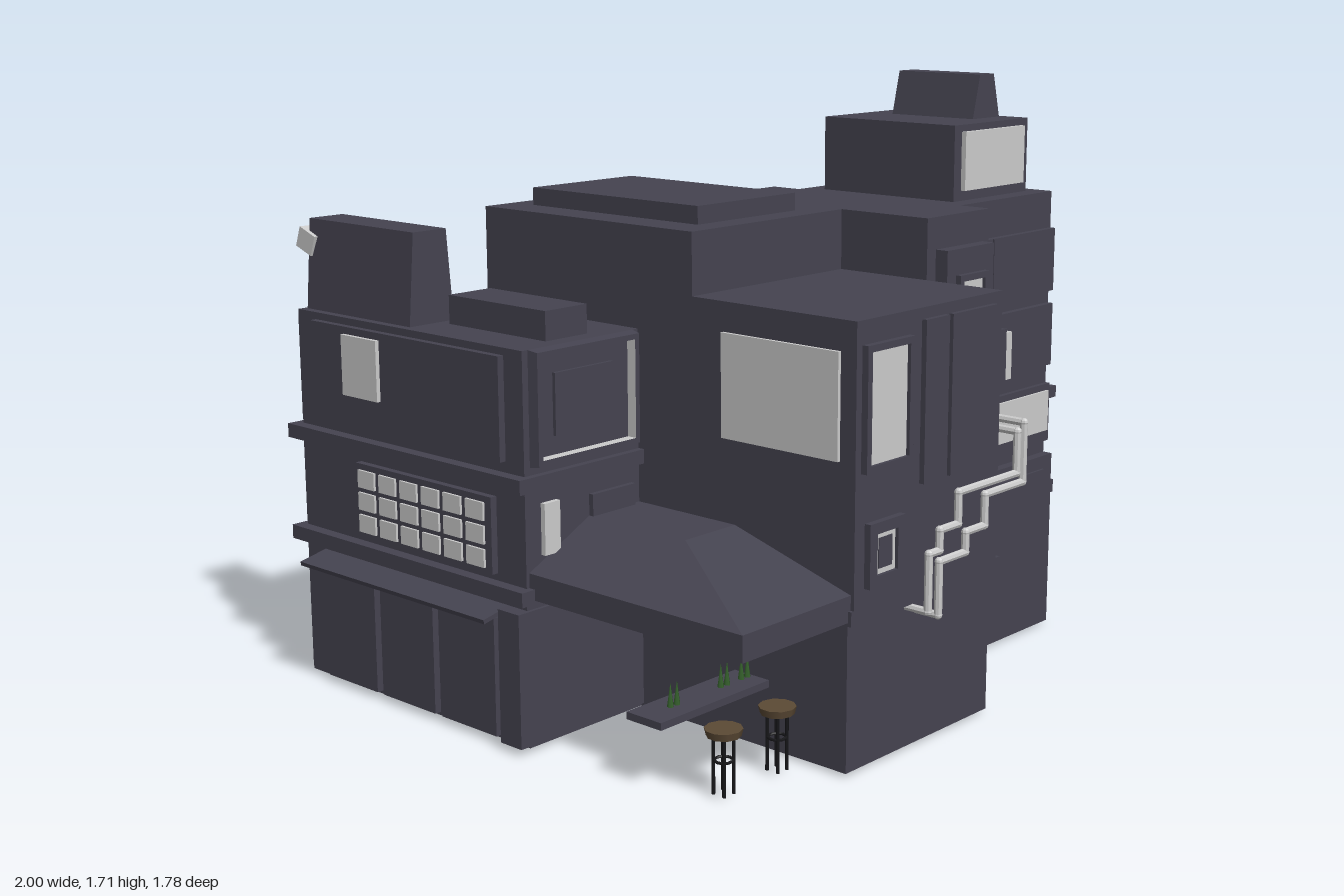
import * as THREE from 'three';

const DARK = new THREE.MeshStandardMaterial({ color: 0x454350, flatShading: true, side: THREE.DoubleSide });
const LIGHT = new THREE.MeshStandardMaterial({ color: 0xcccccc, flatShading: true, side: THREE.DoubleSide });
const BLACK = new THREE.MeshStandardMaterial({ color: 0x17171a });
const WOOD = new THREE.MeshStandardMaterial({ color: 0x5c4a35 });
const GREEN = new THREE.MeshStandardMaterial({ color: 0x35602c });

export function createModel() {
  const root = new THREE.Group();
  const add = (name, geo, mat = DARK, parent = root) => {
    const m = new THREE.Mesh(geo, mat);
    m.name = name;
    parent.add(m);
    return m;
  };
  // Box from its limits on each axis
  const box = (name, x0, x1, y0, y1, z0, z1, mat = DARK) => {
    const m = add(name, new THREE.BoxGeometry(x1 - x0, y1 - y0, z1 - z0), mat);
    m.position.set((x0 + x1) / 2, (y0 + y1) / 2, (z0 + z1) / 2);
    return m;
  };
  // Box whose top is narrowed in x and z
  const taper = (name, x0, x1, y0, y1, z0, z1, kx, kz) => {
    const m = box(name, x0, x1, y0, y1, z0, z1), p = m.geometry.attributes.position;
    for (let i = 0; i < p.count; i++) if (p.getY(i) > 0) p.setXYZ(i, p.getX(i) * kx, p.getY(i), p.getZ(i) * kz);
    m.geometry.computeVertexNormals();
    return m;
  };
  // Skin joining a series of four-cornered loops
  const skin = (loops) => {
    const v = [];
    for (let l = 0; l + 1 < loops.length; l++) for (let i = 0; i < 4; i++) {
      const j = (i + 1) % 4, a = loops[l][i], b = loops[l][j], c = loops[l + 1][j], d = loops[l + 1][i];
      v.push(...a, ...b, ...c, ...a, ...c, ...d);
    }
    const g = new THREE.BufferGeometry();
    g.setAttribute('position', new THREE.Float32BufferAttribute(v, 3));
    g.computeVertexNormals();
    return g;
  };
  const rect = (w, h, z) => [[-w / 2, -h / 2, z], [w / 2, -h / 2, z], [w / 2, h / 2, z], [-w / 2, h / 2, z]];
  // Tapered window bay with a lit reveal and a recessed panel, facing local +z
  const bay = (name, pos, turn, w, h, d, m, t, r, centre) => {
    const g = new THREE.Group(), iw = w - 2 * (m + t), ih = h - 2 * (m + t);
    g.name = name;
    add('bayFrame', skin([rect(w, h, 0), rect(w - 2 * m, h - 2 * m, d), rect(iw, ih, d)]), DARK, g);
    add('bayReveal', skin([rect(iw, ih, d), rect(iw, ih, d - r)]), LIGHT, g);
    add('bayGlass', new THREE.BoxGeometry(iw, ih, 0.01), DARK, g).position.z = d - r;
    add('bayPanel', new THREE.BoxGeometry(iw * 0.62, ih * 0.62, 0.02), centre, g).position.z = d - r + 0.005;
    g.position.set(...pos);
    g.rotation.y = turn;
    root.add(g);
  };
  // Front-facing raised frame around a pane
  const framed = (name, x0, x1, y0, y1, z, mat = LIGHT, b = 0.018) => {
    box(name + 'Pane', x0, x1, y0, y1, z - 0.02, z + 0.004, mat);
    for (const [l, r] of [[x0 - b, x0], [x1, x1 + b]]) box(name + 'Jamb', l, r, y0 - b, y1 + b, z - 0.02, z + 0.014);
    for (const [l, r] of [[y0 - b, y0], [y1, y1 + b]]) box(name + 'Rail', x0, x1, l, r, z - 0.02, z + 0.014);
  };

  // Central block with the lower front box and roof slab
  box('mainBlock', -0.49, 0.14, 0.02, 1.37, -0.53, 0.27);
  box('frontBase', -0.49, 0.13, 0.02, 0.46, 0.27, 0.8);
  box('frontBox', -0.49, 0.13, 0.46, 1.2, 0.27, 0.82);
  box('frontLedge', -0.5, 0.15, 0.42, 0.46, 0.3, 0.82);
  box('roofSlab', -0.38, 0.02, 1.37, 1.42, -0.45, 0.19);
  framed('frontWindow', -0.45, -0.295, 0.83, 1.12, 0.825);
  framed('smallWindow', -0.42, -0.335, 0.54, 0.65, 0.825, LIGHT, 0.03);
  box('smallWindowPanel', -0.405, -0.35, 0.555, 0.635, 0.81, 0.832);
  for (const x of [-0.225, -0.11]) box('frontPanel', x, x + (x < -0.2 ? 0.1 : 0.2), 0.74, 1.17, 0.81, 0.835);
  box('sideWindow', -0.5, -0.48, 0.84, 1.12, 0.38, 0.77, LIGHT);

  // Column between the two front masses
  box('column', 0.13, 0.42, 0.02, 1.37, -0.23, 0.57);
  box('columnBay', 0.17, 0.39, 0.02, 1.28, 0.5, 0.61);
  framed('columnWindow', 0.23, 0.33, 0.93, 1.19, 0.612);
  box('columnPanel', 0.19, 0.36, 0.61, 0.81, 0.6, 0.628);
  framed('columnLowWindow', 0.205, 0.355, 0.44, 0.56, 0.612);

  // Stacked corner bay at the back
  box('cornerLight', 0.13, 0.265, 0.7, 1.36, -0.365, -0.22, LIGHT);
  for (const [a, b] of [[0.66, 0.9], [0.99, 1.2], [1.28, 1.37]]) box('cornerBand', 0.12, 0.28, a, b, -0.38, -0.2);

  // Right tower
  box('rightTower', 0.41, 0.89, 0.02, 1.37, -0.13, 0.47);
  box('rightLedge', 0.38, 0.95, 0.725, 0.76, -0.23, 0.47);
  box('frontBand', 0.42, 0.89, 0.6, 0.78, 0.46, 0.485);
  box('litBand', 0.43, 0.875, 0.635, 0.76, 0.47, 0.492, LIGHT);
  box('upperPanel', 0.42, 0.885, 1.07, 1.26, 0.46, 0.49);
  box('upperPanelStrip', 0.56, 0.57, 1.07, 1.26, 0.46, 0.495);
  box('middlePanel', 0.42, 0.885, 0.84, 1.03, 0.46, 0.49);
  box('garageFrame', 0.41, 0.89, 0.02, 0.56, 0.46, 0.5);
  box('garageDoor', 0.46, 0.84, 0.03, 0.52, 0.47, 0.508);
  box('signBracket', 0.45, 0.48, 0.84, 1.02, 0.47, 0.6);
  box('hangingLamp', 0.485, 0.545, 0.86, 1.0, 0.52, 0.575, LIGHT);
  bay('sideBay', [0.89, 1.06, 0.17], Math.PI / 2, 0.52, 0.55, 0.11, 0.055, 0.02, 0.07, DARK);
  bay('backBay', [0.655, 1.055, -0.13], Math.PI, 0.45, 0.55, 0.07, 0.025, 0.06, 0.05, LIGHT);
  box('roofRoom', 0.47, 0.84, 1.37, 1.59, -0.07, 0.41);
  box('roofRoomWindow', 0.505, 0.805, 1.4, 1.57, 0.4, 0.425, LIGHT);
  taper('rightChimney', 0.685, 0.82, 1.59, 1.72, 0.02, 0.32, 0.52, 1);

  // Side entrance: canopy, lit pillar and door leaves
  box('sideCanopy', 0.88, 0.955, 0.5, 0.69, -0.12, 0.42);
  box('sideLedge', 0.88, 0.95, 0.42, 0.46, -0.12, 0.47);
  box('litPillar', 0.88, 0.955, 0.01, 0.49, 0.13, 0.22, LIGHT);
  for (const z of [0.04, 0.28]) box('doorPost', 0.88, 0.92, 0.01, 0.5, z, z + 0.025);

  // Rear canopy: sloped slabs with an open back, end wall and fascia
  const roofPart = (name, x0, x1, pts) => {
    const s = new THREE.Shape(pts.map(([z, y]) => new THREE.Vector2(-z, y)));
    const m = add(name, new THREE.ExtrudeGeometry(s, { depth: x1 - x0, bevelEnabled: false }));
    m.rotation.y = Math.PI / 2;
    m.position.x = x0;
  };
  roofPart('rearRoofRight', 0.17, 0.95, [[-0.1, 0.68], [-0.28, 0.68], [-0.88, 0.5], [-0.88, 0.43], [-0.28, 0.61], [-0.1, 0.61]]);
  roofPart('rearRoofLeft', -0.5, 0.17, [[-0.3, 0.68], [-0.53, 0.68], [-0.88, 0.5], [-0.88, 0.43], [-0.53, 0.61], [-0.3, 0.61]]);
  roofPart('rearEndWall', 0.925, 0.95, [[-0.12, 0.01], [-0.12, 0.68], [-0.28, 0.68], [-0.88, 0.5], [-0.88, 0.01]]);
  box('rearRoofFill', 0.13, 0.19, 0.5, 0.66, -0.53, -0.2);
  box('rearLitStrip', -0.45, 0.17, 0.63, 0.72, -0.595, -0.575, LIGHT);
  const tip = taper('rearLitTip', 0.17, 0.27, 0.62, 0.72, -0.595, -0.555, 0.6, 1);
  tip.material = LIGHT;

  // Grid of windows on the rear wall
  for (let r = 0; r < 3; r++) for (let c = 0; c < 3; c++) {
    const x = -0.43 + c * 0.185, y = 0.83 + r * 0.187;
    box('rearWindow', x, x + 0.11, y, y + 0.11, -0.558, -0.52, LIGHT);
    box('rearSill', x - 0.01, x + 0.12, y - 0.015, y, -0.56, -0.52);
  }

  // Left tower
  box('leftTower', -0.91, -0.49, 0.02, 1.09, -0.86, 0.07);
  for (const y of [0.42, 0.72]) box('towerLedge', -0.945, -0.47, y, y + 0.04, -0.885, 0.09);
  bay('towerFrontBay', [-0.7, 0.935, 0.07], 0, 0.38, 0.31, 0.03, 0.005, 0.015, 0.035, DARK);
  box('towerFrontWindow', -0.855, -0.8, 0.54, 0.68, 0.05, 0.085, LIGHT);
  box('towerFrontPanel', -0.68, -0.52, 0.54, 0.67, 0.05, 0.085);
  box('towerRoofBox', -0.78, -0.63, 1.09, 1.17, -0.36, 0.02);
  taper('leftChimney', -0.885, -0.73, 1.09, 1.345, -0.85, -0.4, 0.74, 1);
  box('chimneyVent', -0.88, -0.735, 1.25, 1.31, -0.89, -0.82, LIGHT).rotation.x = 0.35;
  for (const [a, b] of [[0.06, 0.4], [0.49, 0.69], [0.79, 1.05]]) {
    box('towerBackFrame', -0.905, -0.5, a - 0.02, b + 0.02, -0.868, -0.84);
    box('towerBackWindow', -0.88, -0.53, a, b, -0.875, -0.84, LIGHT);
  }
  box('towerSidePanel', -0.93, -0.9, 0.79, 1.07, -0.78, 0.0);
  box('towerSideWindow', -0.942, -0.9, 0.88, 1.05, -0.63, -0.48, LIGHT);
  box('towerGridFrame', -0.93, -0.9, 0.48, 0.69, -0.6, -0.04);
  for (let r = 0; r < 3; r++) for (let c = 0; c < 6; c++) {
    const y = 0.495 + r * 0.064, z = -0.585 + c * 0.09;
    box('gridPane', -0.937, -0.92, y, y + 0.05, z, z + 0.07, LIGHT);
  }
  box('sideAwning', -1.0, -0.9, 0.38, 0.392, -0.78, 0.0).rotation.z = 0.2;
  for (let i = 0; i < 3; i++) box('shopPanel', -0.93, -0.9, 0.03, 0.36, -0.76 + i * 0.25, -0.54 + i * 0.25);

  // Hipped porch roof at the front left
  const porch = (x0, x1, z0, z1, y) => [[x0, y, z1], [x1, y, z1], [x1, y, z0], [x0, y, z0]];
  add('porchRoof', skin([
    porch(-0.7, -0.49, 0.07, 0.42, 0.56), porch(-0.9, -0.49, 0.07, 0.81, 0.43), porch(-0.9, -0.49, 0.07, 0.81, 0.5),
    porch(-0.68, -0.49, 0.07, 0.42, 0.61), porch(-0.6, -0.6, 0.2, 0.2, 0.61)]));
  box('porchBackWall', -0.95, -0.49, 0.03, 0.4, 0.0, 0.08);

  // Counters, stools and plants
  box('frontCounter', -0.9, -0.49, 0.19, 0.21, 0.42, 0.54);
  box('rearCounter', -0.48, 0.3, 0.19, 0.21, -0.78, -0.66);
  box('rearCounterReturn', 0.24, 0.32, 0.19, 0.21, -0.78, -0.53);
  for (const x of [-0.44, -0.08, 0.26]) box('counterLeg', x, x + 0.02, 0.02, 0.19, -0.73, -0.71);
  const stool = (x, z) => {
    const g = new THREE.Group();
    g.name = 'stool';
    add('stoolSeat', new THREE.CylinderGeometry(0.05, 0.045, 0.02, 10), WOOD, g).position.y = 0.185;
    add('footRing', new THREE.TorusGeometry(0.024, 0.004, 5, 10).rotateX(Math.PI / 2), BLACK, g).position.y = 0.11;
    for (const sx of [-1, 1]) for (const sz of [-1, 1])
      add('stoolLeg', new THREE.CylinderGeometry(0.005, 0.005, 0.16, 5), BLACK, g).position.set(sx * 0.018, 0.1, sz * 0.018);
    g.position.set(x, 0, z);
    root.add(g);
  };
  for (const [x, z] of [[-0.79, 0.65], [-0.585, 0.65], [0.13, -0.84], [-0.14, -0.84], [-0.38, -0.84], [0.4, -0.64], [0.79, -0.65], [0.79, -0.79]]) stool(x, z);
  for (const [x, z] of [[-0.79, 0.48], [-0.6, 0.48], [-0.52, 0.48], [-0.3, -0.71], [0, -0.71], [0.2, -0.71]])
    for (const d of [-0.012, 0.012]) add('plant', new THREE.ConeGeometry(0.01, 0.07, 5), GREEN).position.set(x + d, 0.24, z);

  // Stepped pipes across the front
  const pipe = (pts) => {
    const path = new THREE.CurvePath();
    const v = pts.map((p) => new THREE.Vector3(...p));
    for (let i = 0; i + 1 < v.length; i++) {
      const len = v[i].distanceTo(v[i + 1]), mid = v[i].clone().lerp(v[i + 1], 0.5);
      const m = add('pipe', new THREE.CylinderGeometry(0.011, 0.011, len, 8), LIGHT);
      m.position.copy(mid);
      m.quaternion.setFromUnitVectors(new THREE.Vector3(0, 1, 0), v[i + 1].clone().sub(v[i]).normalize());
      add('pipeElbow', new THREE.SphereGeometry(0.012, 8, 6), LIGHT).position.copy(v[i + 1]);
    }
  };
  const steps = (xy, end) => [[...xy[0], 0.79], ...xy.map(([x, y]) => [x, y, 0.87]), [...xy[xy.length - 1], end]];
  pipe(steps([[-0.245, 0.41], [-0.245, 0.565], [-0.2, 0.565], [-0.2, 0.62], [-0.12, 0.62], [-0.12, 0.705], [0.145, 0.705], [0.145, 0.82]], 0.56));
  pipe(steps([[-0.2, 0.39], [-0.2, 0.535], [-0.085, 0.535], [-0.085, 0.59], [0, 0.59], [0, 0.675], [0.175, 0.675], [0.175, 0.84]], 0.6));

  return root;
}
